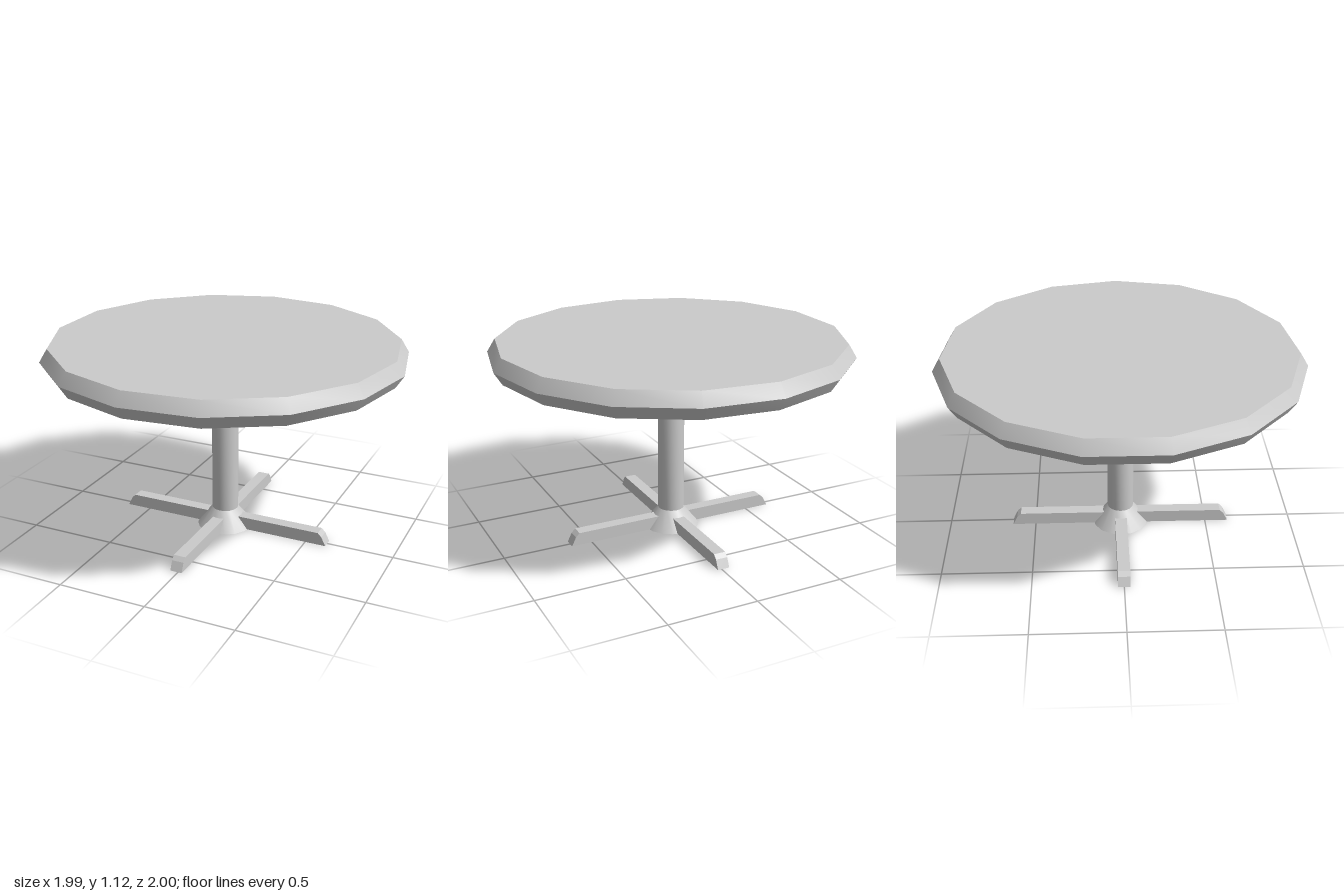
import * as THREE from 'three';
import { toCreasedNormals } from 'three/addons/utils/BufferGeometryUtils.js';

const material = new THREE.MeshStandardMaterial({ color: 0xcccccc, side: THREE.DoubleSide });

// Turned part from [radius, y] pairs, listed bottom to top, with a corner on +x
function turned(name, profile, sides) {
  const points = profile.map(([r, y]) => new THREE.Vector2(r, y));
  const lathe = new THREE.LatheGeometry(points, sides, Math.PI / 2);
  const mesh = new THREE.Mesh(toCreasedNormals(lathe, 0.55), material);
  mesh.name = name;
  return mesh;
}

// Hollow leg: an extruded side outline with its floor and inner end left open
function legGeometry() {
  const inner = 0.07, width = 0.068;
  const outline = [[inner, 0], [0.632, 0], [0.607, 0.05], [0.585, 0.072], [inner, 0.072]];
  const shape = new THREE.Shape(outline.map(([x, y]) => new THREE.Vector2(x, y)));
  const solid = new THREE.ExtrudeGeometry(shape, { depth: width, bevelEnabled: false });
  solid.translate(0, 0, -width / 2);
  const p = solid.attributes.position;
  const kept = [];
  for (let i = 0; i < p.count; i += 3) {
    const corners = [i, i + 1, i + 2];
    const isFloor = corners.every((c) => p.getY(c) < 1e-5);
    const isInnerEnd = corners.every((c) => p.getX(c) < inner + 1e-5);
    if (isFloor || isInnerEnd) continue;
    for (const c of corners) kept.push(p.getX(c), p.getY(c), p.getZ(c));
  }
  const geometry = new THREE.BufferGeometry();
  geometry.setAttribute('position', new THREE.Float32BufferAttribute(kept, 3));
  geometry.computeVertexNormals();
  return geometry;
}

export function createModel() {
  const table = new THREE.Group();
  table.name = 'pedestalTable';

  // Faceted round top with a pointed rim
  table.add(turned('tableTop', [[0, 0.98], [0.96, 0.98], [1.004, 1.05], [0.96, 1.122], [0, 1.122]], 15));

  // Cone under the top, column, and open flared foot
  table.add(turned('supportCone', [[0.075, 0.782], [0.46, 0.98]], 15));
  table.add(turned('column', [[0.075, 0.105], [0.075, 0.785]], 16));
  table.add(turned('flaredFoot', [[0.16, 0], [0.075, 0.108]], 16));

  // Four legs in a cross
  const geometry = legGeometry();
  for (let i = 0; i < 4; i++) {
    const leg = new THREE.Mesh(geometry, material);
    leg.name = `leg${i + 1}`;
    leg.rotation.y = (i * Math.PI) / 2;
    table.add(leg);
  }

  // The odd-sided top reaches further on +x, so shift to centre it
  table.position.x = -0.012;
  const model = new THREE.Group();
  model.name = 'table';
  model.add(table);
  return model;
}
